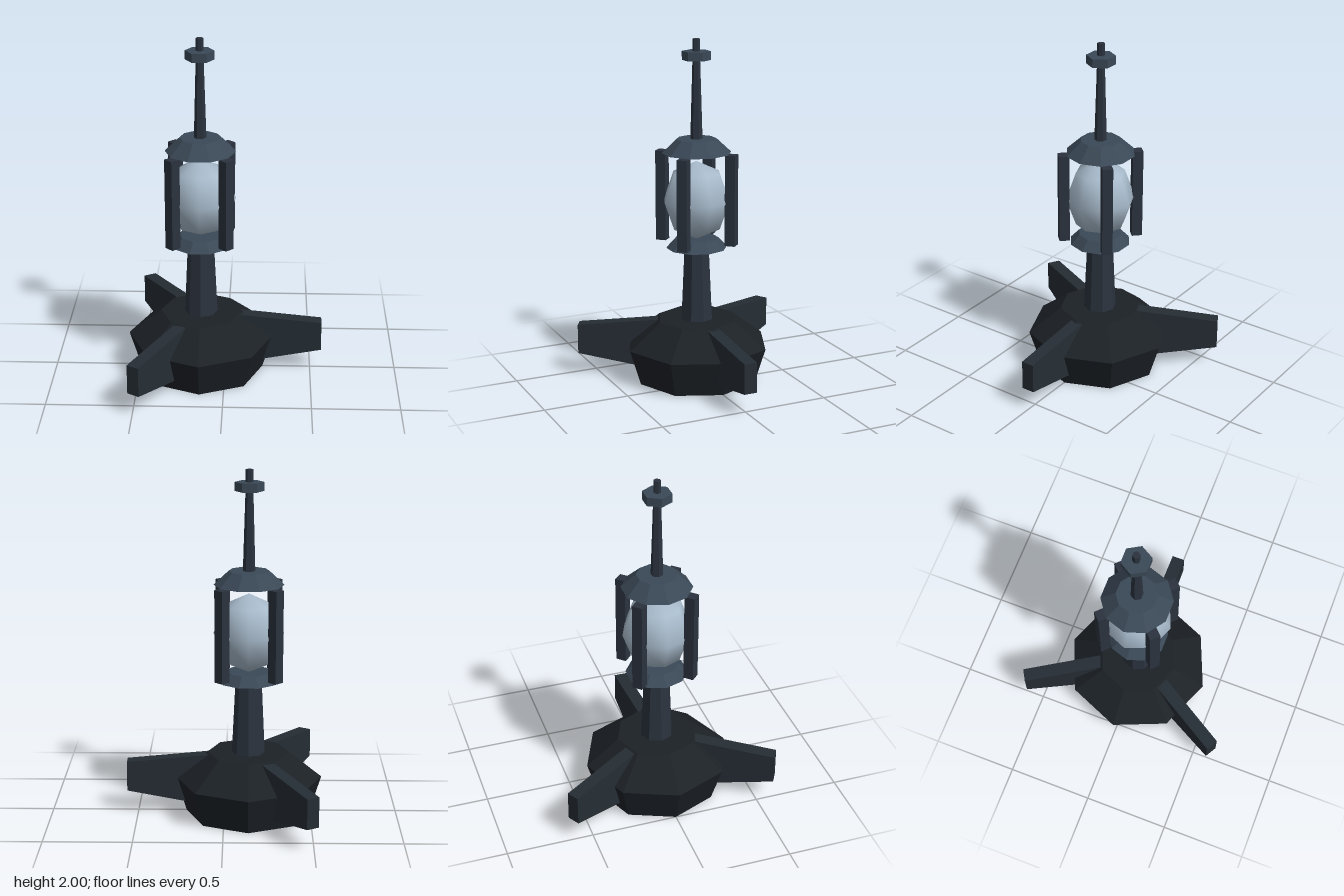
import * as THREE from 'three';

const AXIS_X = -0.14; // the mast stands off-centre because of the three fins

const flat = (color) => new THREE.MeshStandardMaterial({ color, flatShading: true });
const baseMat = flat(0x1c2126);
const finMat = flat(0x252d34);
const mastMat = flat(0x2b333e);
const trimMat = flat(0x3a4856);
const orbMat = new THREE.MeshStandardMaterial({ color: 0xa9bccd });

export function createModel() {
  const model = new THREE.Group();
  model.name = 'beacon';
  const body = new THREE.Group();
  body.name = 'beaconBody';
  body.position.x = AXIS_X;
  model.add(body);

  const add = (name, geometry, material, parent = body) => {
    const mesh = new THREE.Mesh(geometry, material);
    mesh.name = name;
    parent.add(mesh);
    return mesh;
  };

  // Tapered prism between two heights, with a corner on the +x axis
  const prism = (name, y0, r0, y1, r1, sides, material) => {
    const g = new THREE.CylinderGeometry(r1, r0, y1 - y0, sides, 1, false, Math.PI / 2);
    add(name, g.translate(0, (y0 + y1) / 2, 0), material);
  };

  // Base and column
  prism('lowerBase', 0, 0.36, 0.21, 0.425, 8, baseMat);
  prism('upperBase', 0.21, 0.425, 0.36, 0.235, 8, baseMat);
  prism('column', 0.36, 0.095, 0.79, 0.075, 8, mastMat);

  // Lamp collar and cap
  prism('lampCollar', 0.79, 0.177, 0.845, 0.125, 10, trimMat);
  prism('lampCap', 1.35, 0.2, 1.43, 0.115, 10, trimMat);

  // Antenna
  prism('antennaMast', 1.43, 0.035, 1.88, 0.022, 6, mastMat);
  prism('antennaDisc', 1.88, 0.082, 1.93, 0.082, 6, trimMat);
  prism('antennaTip', 1.93, 0.021, 2.0, 0.021, 6, mastMat);

  // Glowing orb, slightly taller than wide
  const orb = add('orb', new THREE.SphereGeometry(0.2, 8, 4), orbMat);
  orb.scale.y = 1.15;
  orb.position.y = 1.07;

  // Four cage posts on the diagonals
  for (let i = 0; i < 4; i++) {
    const pivot = new THREE.Group();
    pivot.name = 'cagePost' + (i + 1);
    pivot.rotation.y = Math.PI / 4 + (i * Math.PI) / 2;
    body.add(pivot);
    const post = add('post', new THREE.BoxGeometry(0.06, 0.53, 0.06), mastMat, pivot);
    post.position.set(0.212, 1.085, 0);
  }

  // Three tapered stabiliser fins
  const profile = new THREE.Shape([
    new THREE.Vector2(0.22, 0.04),
    new THREE.Vector2(0.703, 0.13),
    new THREE.Vector2(0.703, 0.305),
    new THREE.Vector2(0.22, 0.352),
  ]);
  const finGeo = new THREE.ExtrudeGeometry(profile, { depth: 0.076, bevelEnabled: false });
  finGeo.translate(0, 0, -0.038);
  for (let i = 0; i < 3; i++) {
    add('fin' + (i + 1), finGeo, finMat).rotation.y = (i * Math.PI * 2) / 3;
  }

  return model;
}
